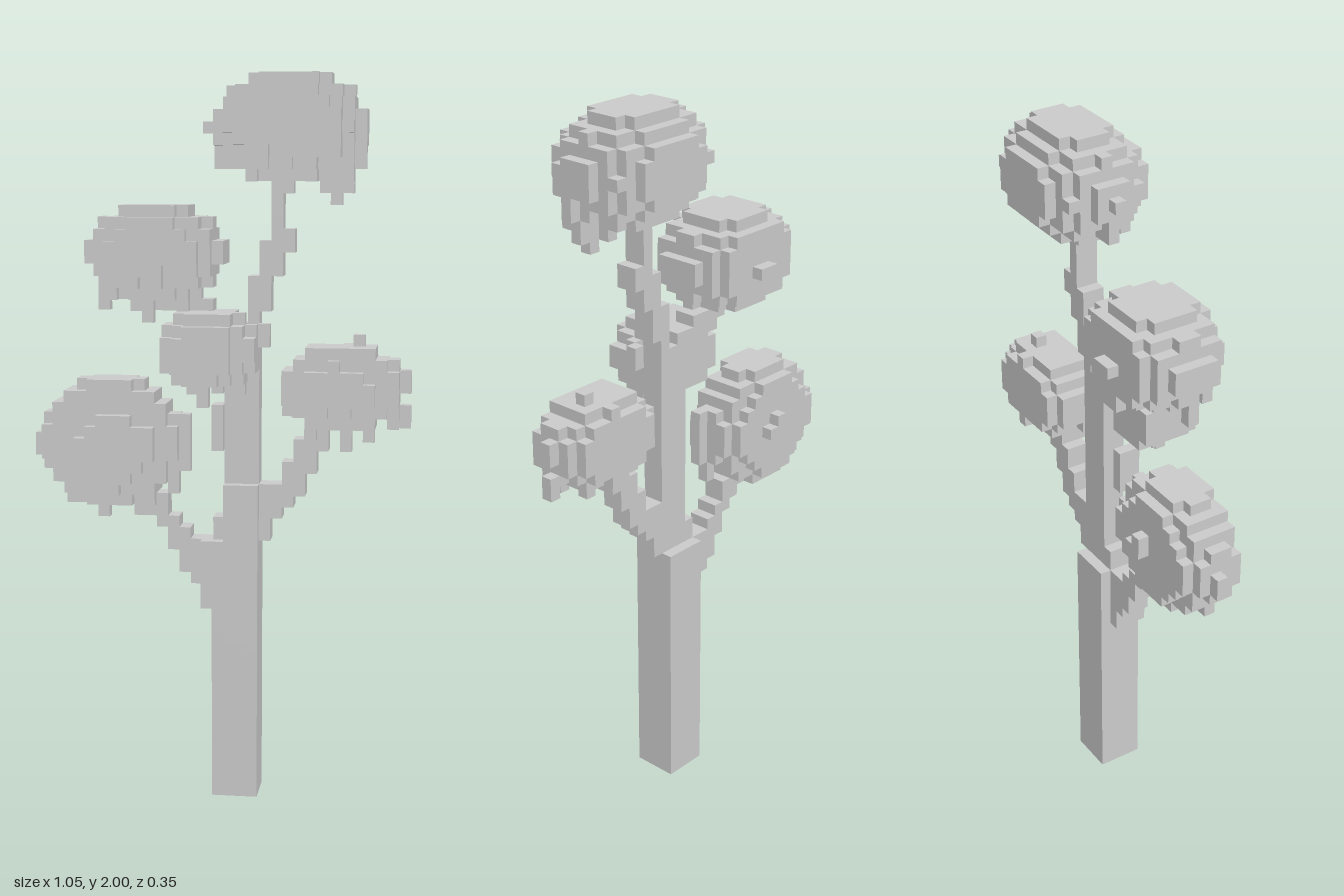
import * as THREE from 'three';

const U = 2 / 63; // edge of one voxel
const material = new THREE.MeshStandardMaterial({ color: 0xcccccc, flatShading: true, side: THREE.DoubleSide });

// A set of voxel cells, each keyed by its integer position (y counts up from the ground)
const key = (x, y, z) => `${x},${y},${z}`;
function addBox(cells, [x0, x1], [y0, y1], [z0, z1]) {
  for (let x = x0; x <= x1; x++)
    for (let y = y0; y <= y1; y++)
      for (let z = z0; z <= z1; z++) cells.set(key(x, y, z), [x, y, z]);
}

// Rounded foliage: every cell whose centre lies in an ellipsoid, cut to a depth range
function addEllipsoid(cells, [cx, cy, cz], [rx, ry, rz], [z0, z1]) {
  for (let x = Math.floor(cx - rx); x <= cx + rx; x++)
    for (let y = Math.floor(cy - ry); y <= cy + ry; y++)
      for (let z = z0; z <= z1; z++) {
        const d = ((x - cx) / rx) ** 2 + ((y - cy) / ry) ** 2 + ((z - cz) / rz) ** 2;
        if (d <= 1) cells.set(key(x, y, z), [x, y, z]);
      }
}

// Mesh of only the exposed voxel faces
function voxelMesh(name, cells) {
  const positions = [], index = [];
  for (const c of cells.values())
    for (let axis = 0; axis < 3; axis++)
      for (const s of [-1, 1]) {
        const next = [...c];
        next[axis] += s;
        if (cells.has(key(...next))) continue;
        const a = (axis + 1) % 3, b = (axis + 2) % 3, n = positions.length / 3;
        for (const [p, q] of [[-1, -1], [1, -1], [1, 1], [-1, 1]]) {
          const v = [c[0], c[1] + 0.5, c[2]];
          v[axis] += s / 2;
          v[a] += (p * s) / 2;
          v[b] += q / 2;
          positions.push(v[0] * U, v[1] * U, v[2] * U);
        }
        index.push(n, n + 1, n + 2, n, n + 2, n + 3);
      }
  const geometry = new THREE.BufferGeometry();
  geometry.setAttribute('position', new THREE.Float32BufferAttribute(positions, 3));
  geometry.setIndex(index);
  geometry.computeVertexNormals();
  const mesh = new THREE.Mesh(geometry, material);
  mesh.name = name;
  return mesh;
}

// Wood parts as boxes of cells: [x range, y range, z range]
const wood = {
  trunk: [
    [[0, 3], [0, 22], [-2, 1]],
    [[1, 3], [23, 27], [-1, 1]],
    [[1, 3], [28, 41], [-1, 0]],
    [[0, 0], [23, 24], [-1, 0]],
    [[0, 0], [31, 34], [0, 1]],
  ],
  lowerLeftBranch: [
    [[-1, -1], [17, 22], [-1, 1]],
    [[-2, -2], [19, 22], [-1, 0]],
    [[-3, -3], [20, 23], [-1, 0]],
    [[-4, -4], [22, 24], [-1, 0]],
    [[-5, -5], [24, 26], [-1, 0]],
    [[-6, -6], [25, 28], [-1, 0]],
  ],
  rightBranch: [
    [[4, 4], [23, 27], [-1, 0]],
    [[5, 5], [25, 27], [-1, 0]],
    [[6, 6], [26, 29], [-1, 0]],
    [[7, 7], [27, 31], [-1, 0]],
    [[8, 8], [29, 32], [-1, 0]],
    [[9, 9], [31, 34], [-1, 0]],
  ],
  topBranch: [
    [[3, 3], [41, 45], [-1, 0]],
    [[4, 4], [43, 48], [-1, 0]],
    [[5, 5], [46, 54], [-1, 0]],
    [[6, 6], [48, 49], [-1, 0]],
  ],
  upperLeftBranch: [
    [[-1, 1], [40, 42], [-1, 0]],
    [[-3, -1], [42, 43], [-1, 0]],
    [[-4, -3], [43, 45], [-1, 0]],
  ],
};

// Foliage clumps: centre, radii, depth range, ragged front patch (first x, z, then
// a y range per column), and stray hanging voxels [x, y, z, height]
const foliage = {
  topFoliage: {
    c: [6, 58, -1], r: [6.6, 4.75, 4.75], z: [-5, 2],
    patch: [2, 3, [[57, 59], [56, 60], [55, 60], [57, 60], [55, 60], [56, 60], [55, 60], [56, 60], [56, 59]]],
    extra: [[-1, 58, -1, 1], [10, 52, 0, 4], [9, 53, -1, 2], [11, 53, 0, 3], [6, 53, 1, 2], [0, 55, -1, 2],
      [3, 54, 2, 2], [8, 54, 2, 2], [12, 55, 0, 2], [11, 54, 1, 2]],
  },
  upperLeftFoliage: {
    c: [-5.5, 47.5, -0.5], r: [5.8, 4.4, 5.2], z: [-4, 2],
    patch: [-9, 3, [[47, 48], [46, 49], [45, 50], [46, 50], [45, 50], [47, 50], [46, 49], [46, 48]]],
    extra: [[-10, 43, 0, 3], [-6, 42, 1, 3], [-7, 43, 1, 2], [-5, 43, 0, 2], [-3, 43, 1, 2], [-2, 43, 0, 3],
      [-11, 47, 0, 2], [-6, 47, -5, 1], [-5, 47, -5, 1], [-9, 44, 2, 2]],
  },
  lowerLeftFoliage: {
    c: [-9.5, 31, -0.5], r: [6.2, 5.7, 3.9], z: [-3, 1],
    patch: [-12, 2, [[30, 31], [28, 32], [28, 33], [27, 33], [28, 33], [29, 32], [30, 32]]],
    extra: [[-16, 30, -1, 2], [-3, 29, 0, 5], [-13, 26, 0, 3], [-10, 25, 1, 2], [-7, 25, 0, 2], [-4, 27, 0, 3],
      [-6, 26, 1, 2], [-9, 31, -4, 2], [-8, 31, -4, 1]],
  },
  rightFoliage: {
    c: [10.6, 36, -0.5], r: [5.2, 3.95, 3.9], z: [-3, 1],
    patch: [8, 2, [[35, 37], [34, 37], [35, 38], [34, 37], [35, 37], [35, 36]]],
    extra: [[16, 36, -1, 2], [16, 33, -1, 2], [15, 33, 0, 3], [13, 32, 1, 2], [11, 31, 0, 2], [9, 32, 0, 2],
      [6, 34, 0, 2], [12, 40, -1, 1], [8, 32, 1, 2]],
  },
  middleFoliage: {
    c: [-0.7, 39.4, 2], r: [4.2, 3.4, 4.6], z: [0, 4],
    patch: [-3, 5, [[38, 40], [37, 41], [37, 41], [37, 41], [38, 41]]],
    extra: [[-4, 38, 2, 4], [4, 40, 1, 2], [-1, 35, 3, 2], [0, 36, 1, 2], [-3, 37, 3, 2], [2, 36, 2, 2],
      [-2, 36, 2, 2], [1, 37, 4, 2]],
  },
};

export function createModel() {
  const group = new THREE.Group();
  group.name = 'tree';
  for (const [name, boxes] of Object.entries(wood)) {
    const cells = new Map();
    boxes.forEach((b) => addBox(cells, ...b));
    group.add(voxelMesh(name, cells));
  }
  for (const [name, { c, r, z, patch: [px, pz, spans], extra }] of Object.entries(foliage)) {
    const cells = new Map();
    addEllipsoid(cells, c, r, z);
    spans.forEach((span, i) => addBox(cells, [px + i, px + i], span, [pz, pz]));
    for (const [x, y, d, h] of extra) addBox(cells, [x, x], [y, y + h - 1], [d, d]);
    group.add(voxelMesh(name, cells));
  }
  return group;
}
